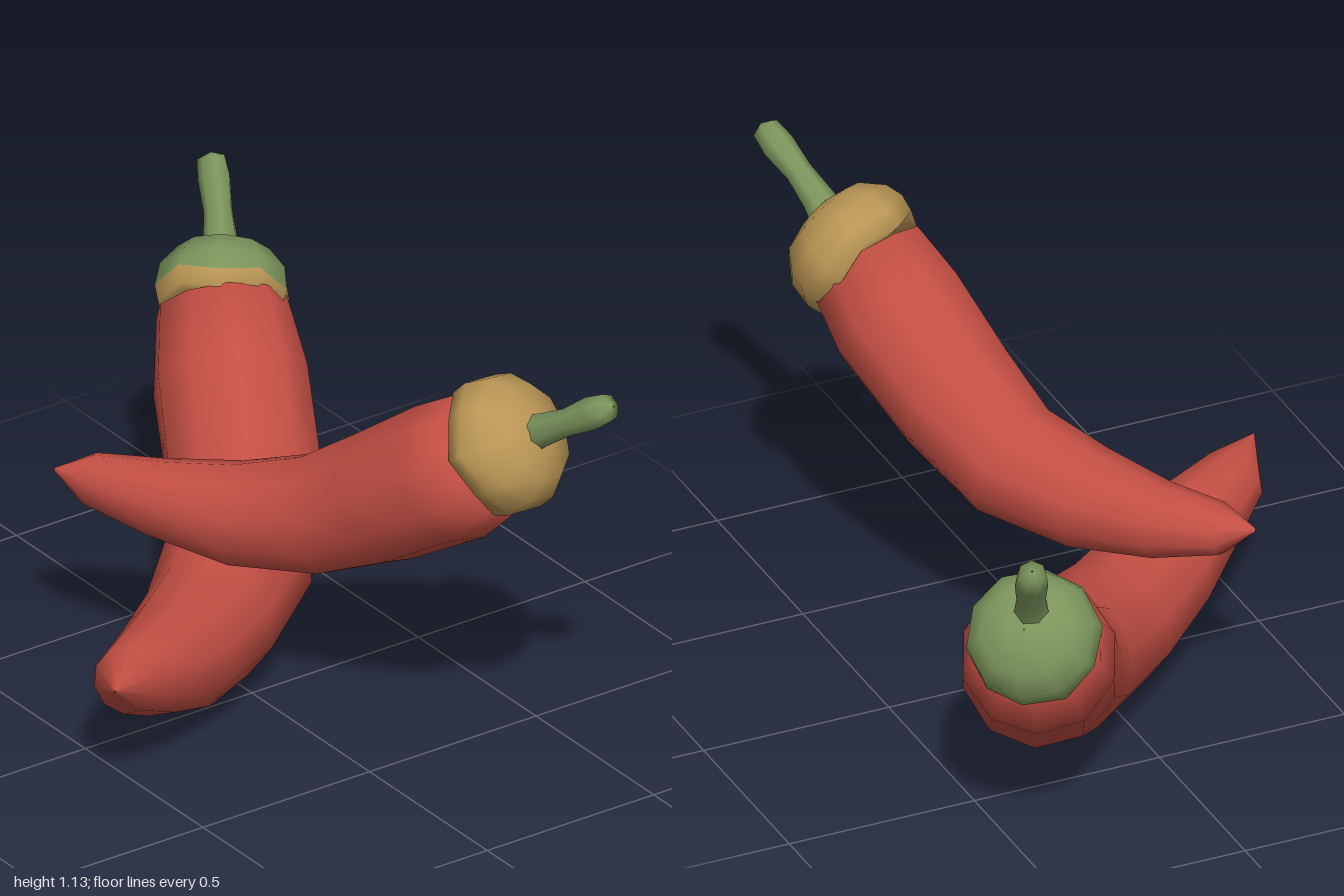
import * as THREE from 'three';

const mat = (name, color) => {
  const m = new THREE.MeshStandardMaterial({ color });
  m.name = name;
  return m;
};

// Smooth skin over rings [x, y, z, radius]; wave(row, side) may shift a vertex along the path
function loft(rings, sides, wave = () => 0) {
  const centres = rings.map(r => new THREE.Vector3(r[0], r[1], r[2]));
  const last = rings.length - 1;
  const pos = [], index = [];
  const up = new THREE.Vector3(0, 1, 0);
  rings.forEach((r, i) => {
    const t = centres[Math.min(i + 1, last)].clone().sub(centres[Math.max(i - 1, 0)]).normalize();
    const u = up.clone().addScaledVector(t, -up.dot(t)).normalize();
    const v = t.clone().cross(u);
    for (let j = 0; j < sides; j++) {
      const a = j / sides * Math.PI * 2;
      const p = centres[i].clone()
        .addScaledVector(u, Math.cos(a) * r[3])
        .addScaledVector(v, Math.sin(a) * r[3])
        .addScaledVector(t, wave(i, j));
      pos.push(p.x, p.y, p.z);
    }
  });
  for (let i = 0; i < last; i++) {
    for (let j = 0; j < sides; j++) {
      const k = (j + 1) % sides;
      const a = i * sides + j, b = i * sides + k, c = a + sides, d = b + sides;
      index.push(a, b, d, a, d, c);
    }
  }
  const geo = new THREE.BufferGeometry();
  geo.setAttribute('position', new THREE.Float32BufferAttribute(pos, 3));
  geo.setIndex(index);
  geo.computeVertexNormals();
  return geo;
}

// Dome profile of the cap: [height along axis, radius]; the first rows are underside and rim
const CAP = [[0.02, 0.002], [0.005, 0.13], [0, 0.168], [0.045, 0.18], [0.1, 0.17], [0.155, 0.125], [0.178, 0.05], [0.18, 0.002]];

function pepper(name, { body, base, axis, capScale, stem, capMaterials, bandRows }, red, green) {
  const group = new THREE.Group();
  group.name = name;
  const add = (part, geo, material) => {
    const m = new THREE.Mesh(geo, material);
    m.name = part;
    group.add(m);
  };

  add('body', loft(body, 10), red);

  // Cap, with a separately coloured rim band
  const sides = 10;
  const dir = new THREE.Vector3(...axis).normalize();
  const rings = CAP.map(([h, r]) => {
    const p = new THREE.Vector3(...base).addScaledVector(dir, h * capScale);
    return [p.x, p.y, p.z, r * capScale];
  });
  // The underside rows step backwards, so the rings run in order of height
  rings[0] = [...new THREE.Vector3(...base).addScaledVector(dir, -0.012).toArray(), 0.002];
  rings[1] = [...new THREE.Vector3(...base).addScaledVector(dir, -0.006).toArray(), 0.13];
  const cap = loft(rings, sides, (i, j) => (i === 2 || i === 3) ? (j % 2 ? 0.01 : -0.01) : 0);
  const split = bandRows * sides * 6;
  cap.addGroup(0, split, 0);
  cap.addGroup(split, cap.index.count - split, 1);
  add('cap', cap, capMaterials);

  add('stem', loft(stem, 7), green);
  return group;
}

export function createModel() {
  const red = mat('pepper red', 0xc44f44);
  const green = mat('stem green', 0x7b955c);
  const tan = mat('cap tan', 0xba9655);
  const model = new THREE.Group();
  model.name = 'chilliPeppers';

  model.add(pepper('lowerPepper', {
    body: [
      [-0.79, 0.60, -0.465, 0.002], [-0.78, 0.59, -0.46, 0.165],
      [-0.65, 0.465, -0.395, 0.195], [-0.465, 0.31, -0.305, 0.197],
      [-0.28, 0.20, -0.16, 0.187], [-0.11, 0.168, 0.05, 0.168],
      [0.03, 0.197, 0.24, 0.15], [0.13, 0.245, 0.39, 0.12],
      [0.21, 0.29, 0.525, 0.085], [0.31, 0.335, 0.63, 0.002],
    ],
    base: [-0.775, 0.59, -0.455], axis: [-0.6, 0.62, -0.5], capScale: 0.95,
    stem: [
      [-0.82, 0.68, -0.49, 0.055], [-0.845, 0.725, -0.505, 0.045],
      [-0.885, 0.79, -0.525, 0.037], [-0.93, 0.86, -0.545, 0.042],
      [-0.957, 0.90, -0.555, 0.036], [-0.963, 0.91, -0.558, 0.002],
    ],
    capMaterials: [tan, green], bandRows: 3,
  }, red, green));

  model.add(pepper('upperPepper', {
    body: [
      [0.645, 0.88, -0.27, 0.002], [0.635, 0.87, -0.265, 0.16],
      [0.515, 0.77, -0.23, 0.182], [0.32, 0.635, -0.168, 0.17],
      [0.14, 0.53, -0.10, 0.152], [-0.04, 0.49, 0.02, 0.131],
      [-0.22, 0.493, 0.135, 0.097], [-0.355, 0.515, 0.235, 0.066],
      [-0.418, 0.53, 0.295, 0.006], [-0.42, 0.531, 0.297, 0.002],
    ],
    base: [0.63, 0.87, -0.265], axis: [0.74, 0.52, -0.43], capScale: 1,
    stem: [
      [0.745, 0.95, -0.315, 0.05], [0.79, 0.98, -0.325, 0.042],
      [0.86, 1.025, -0.345, 0.035], [0.925, 1.07, -0.37, 0.043],
      [0.97, 1.10, -0.385, 0.036], [0.985, 1.108, -0.39, 0.002],
    ],
    capMaterials: [tan, tan], bandRows: 3,
  }, red, green));

  return model;
}
